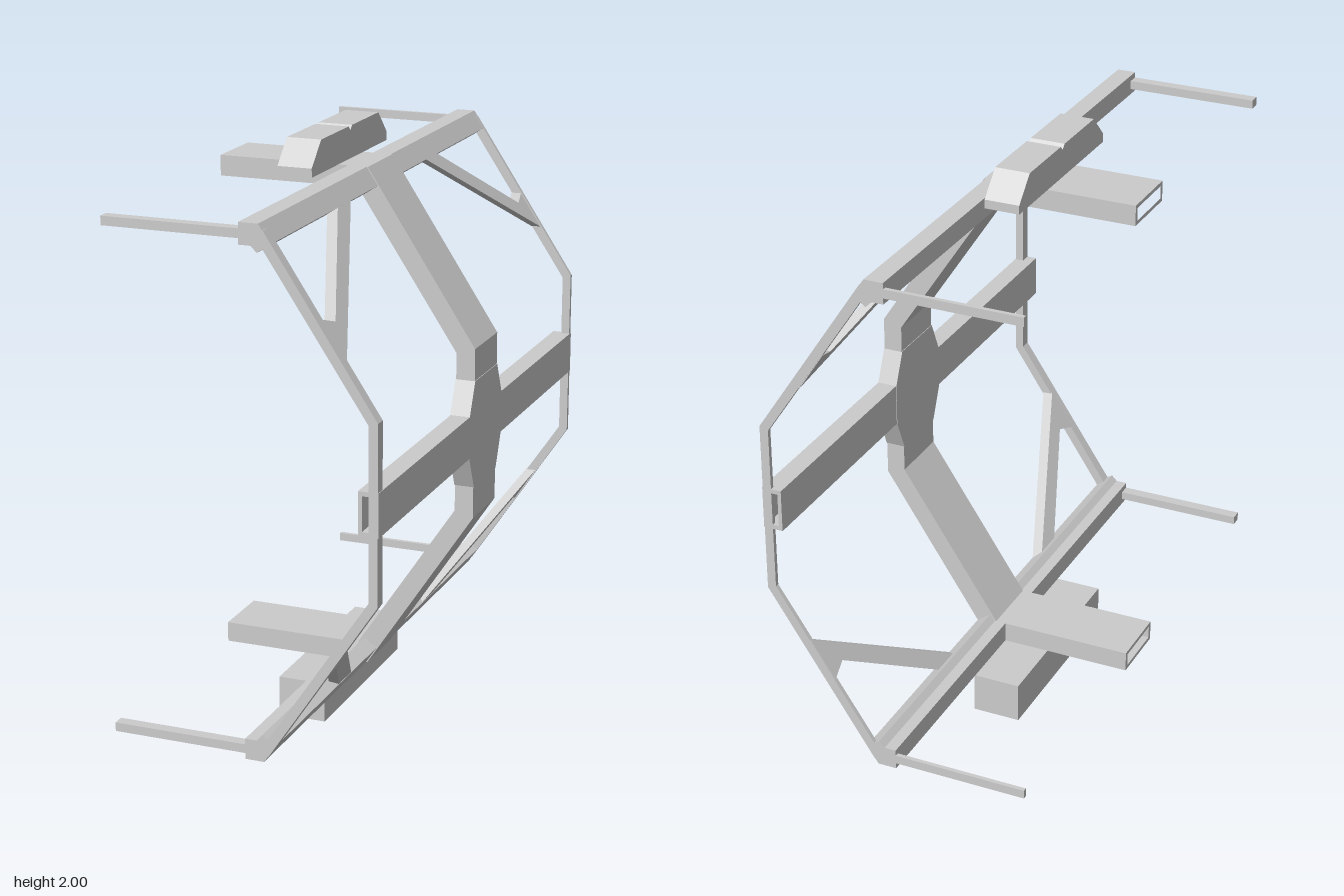
import * as THREE from 'three';

const MID_Y = 1.02; // the frame mirrors above and below this height
const MID_Z = -0.017; // and fore and aft of this depth
const mat = new THREE.MeshStandardMaterial({ color: 0xcccccc, flatShading: true });

const flipY = (pts) => pts.map(([a, y]) => [a, 2 * MID_Y - y - 0.01]);
const rect = (a0, b0, a1, b1) => [[a0, b0], [a1, b0], [a1, b1], [a0, b1]];
const vectors = (pts) => pts.map(([a, b]) => new THREE.Vector2(a, b));

function extrude(pts, depth, hole) {
  const shape = new THREE.Shape(vectors(pts));
  if (hole) shape.holes.push(new THREE.Path(vectors(hole)));
  return new THREE.ExtrudeGeometry(shape, { depth, bevelEnabled: false });
}

// Outline in x, y swept along z
const prismZ = (pts, z0, z1, hole) => extrude(pts, z1 - z0, hole).translate(0, 0, z0);

// Outline in z, y swept along x
function prismX(pts, x0, x1, hole) {
  const turn = (list) => list && list.map(([z, y]) => [-z, y]);
  return extrude(turn(pts), x1 - x0, turn(hole)).rotateY(Math.PI / 2).translate(x0, 0, 0);
}

// Half an outline above the middle, completed by its mirror image below
const closed = (outer, inner) => [
  ...outer, ...flipY(outer).reverse(),
  ...flipY(inner), ...[...inner].reverse(),
];

export function createModel() {
  const model = new THREE.Group();
  const add = (name, geometry) => {
    const mesh = new THREE.Mesh(geometry, mat);
    mesh.name = name;
    model.add(mesh);
  };

  // Wide central band bent around the outside
  add('centralBand', prismZ(closed(
    [[0, 1.89], [0.07, 1.89], [0.45, 1.31]],
    [[0, 1.82], [0.035, 1.82], [0.385, 1.29]],
  ), -0.13, 0.095));

  // Hub that flares where band and middle rail cross
  const flare = [[0.095, 1.2], [0.145, 1.09], [0.145, 0.945], [0.095, 0.83]];
  const hub = [...flare, ...flare.map(([z, y]) => [2 * MID_Z - z, y]).reverse()];
  add('hub', prismX(hub, 0.383, 0.452));

  // Hollow middle rail
  add('middleRail', prismZ(rect(0.385, 0.945, 0.452, 1.09), -0.975, 0.975,
    rect(0.398, 0.96, 0.439, 1.075)));

  // Slim end ribs with their rods
  const rib = closed(
    [[-0.46, 1.87], [0.08, 1.87], [0.45, 1.31]],
    [[-0.46, 1.84], [0.06, 1.84], [0.42, 1.3]],
  );
  add('frontRib', prismZ(rib, 0.935, 0.975));
  add('backRib', prismZ(rib, -0.975, -0.96));

  // Corner rails, hollow arms and diagonal braces, above and below
  const rail = [[0, 1.89], [0.065, 1.89], [0.105, 1.83], [0.06, 1.8], [0.04, 1.82], [0, 1.82]];
  const arm = rect(-0.13, 1.82, 0.095, 1.89);
  const armHole = rect(-0.115, 1.833, 0.08, 1.877);
  const brace = [[0.94, 1.475], [0.32, 1.835], [0.43, 1.835], [0.86, 1.58], [0.94, 1.605]];
  for (const upper of [true, false]) {
    const place = (pts) => (upper ? pts : flipY(pts));
    const prefix = upper ? 'upper' : 'lower';
    add(prefix + 'Rail', prismZ(place(rail), -0.975, 0.975));
    add(prefix + 'Arm', prismX(place(arm), -0.46, 0, place(armHole)));

    for (const front of [true, false]) {
      const outline = brace.map(([z, y]) => [front ? z : 2 * MID_Z - z, y]);
      const geometry = prismX(place(outline), -0.042, -0.006);
      // Lean the brace along the sloping side of the frame
      const p = geometry.attributes.position;
      for (let i = 0; i < p.count; i++) {
        const drop = upper ? 1.89 - p.getY(i) : p.getY(i) - 0.14;
        p.setX(i, p.getX(i) + 0.07 + drop * 0.655);
      }
      geometry.computeVertexNormals();
      add(prefix + (front ? 'Front' : 'Back') + 'Brace', geometry);
    }
  }

  // Chamfered block on top with a small notch
  add('topBlock', prismX([
    [0.32, 1.89], [0.32, 1.92], [0.24, 2], [0.002, 2], [-0.013, 1.985], [-0.028, 2],
    [-0.268, 2], [-0.347, 1.92], [-0.347, 1.89],
  ], -0.155, -0.035));

  // Plain block underneath
  add('baseBlock', prismX(rect(-0.375, 0, 0.325, 0.14), -0.163, 0.004));

  return model;
}
